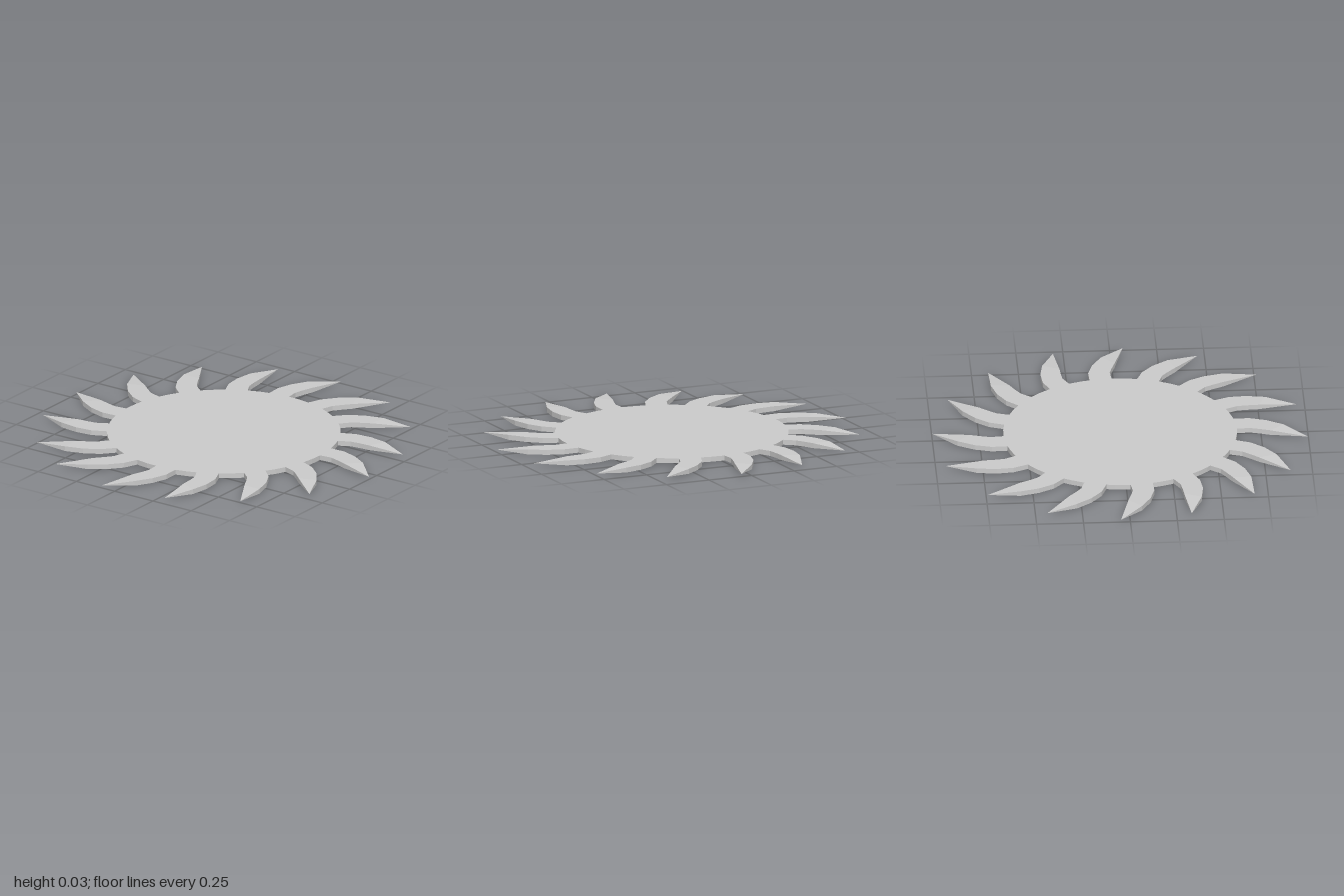
import * as THREE from 'three';

const HEIGHT = 0.027;

// Stations along one curved tooth, root to tip: [left x, left z, right x, right z]
const STATIONS = [
  [-0.14, -0.595, -0.02, -0.6],
  [-0.145, -0.69, -0.03, -0.69],
  [-0.12, -0.78, -0.018, -0.74],
  [-0.07, -0.87, 0.0, -0.8],
  [0.05, -1.0, 0.05, -1.0],
];

// Bearing of each tooth in degrees, clockwise from above; spacing is slightly uneven
const BEARINGS = [0, 23, 45, 68.4, 90.5, 113.8, 135.8, 159.4,
  181.1, 204.6, 226.6, 250, 272, 295.2, 314.6, 337.9];

// Bend a segmented box through the stations, closing it to a point at the tip
function toothGeometry() {
  const last = STATIONS.length - 1;
  const geo = new THREE.BoxGeometry(1, HEIGHT, 1, 1, 1, last);
  const p = geo.attributes.position;
  for (let i = 0; i < p.count; i++) {
    const k = Math.round((0.5 - p.getZ(i)) * last);
    const [lx, lz, rx, rz] = STATIONS[k];
    const left = p.getX(i) < 0;
    const y = k === last ? 0 : p.getY(i);
    p.setXYZ(i, left ? lx : rx, y + HEIGHT / 2, left ? lz : rz);
  }
  geo.computeVertexNormals();
  return geo;
}

export function createModel() {
  const group = new THREE.Group();
  group.name = 'toothedDisc';
  const material = new THREE.MeshStandardMaterial({ color: 0xcccccc, flatShading: true });

  // Flat round plate
  const disc = new THREE.Mesh(new THREE.CylinderGeometry(0.622, 0.622, HEIGHT, 64), material);
  disc.name = 'disc';
  disc.position.y = HEIGHT / 2;
  group.add(disc);

  // Ring of hooked teeth
  const geo = toothGeometry();
  BEARINGS.forEach((deg, i) => {
    const tooth = new THREE.Mesh(geo, material);
    tooth.name = `tooth${i + 1}`;
    tooth.rotation.y = -THREE.MathUtils.degToRad(deg);
    group.add(tooth);
  });
  return group;
}
